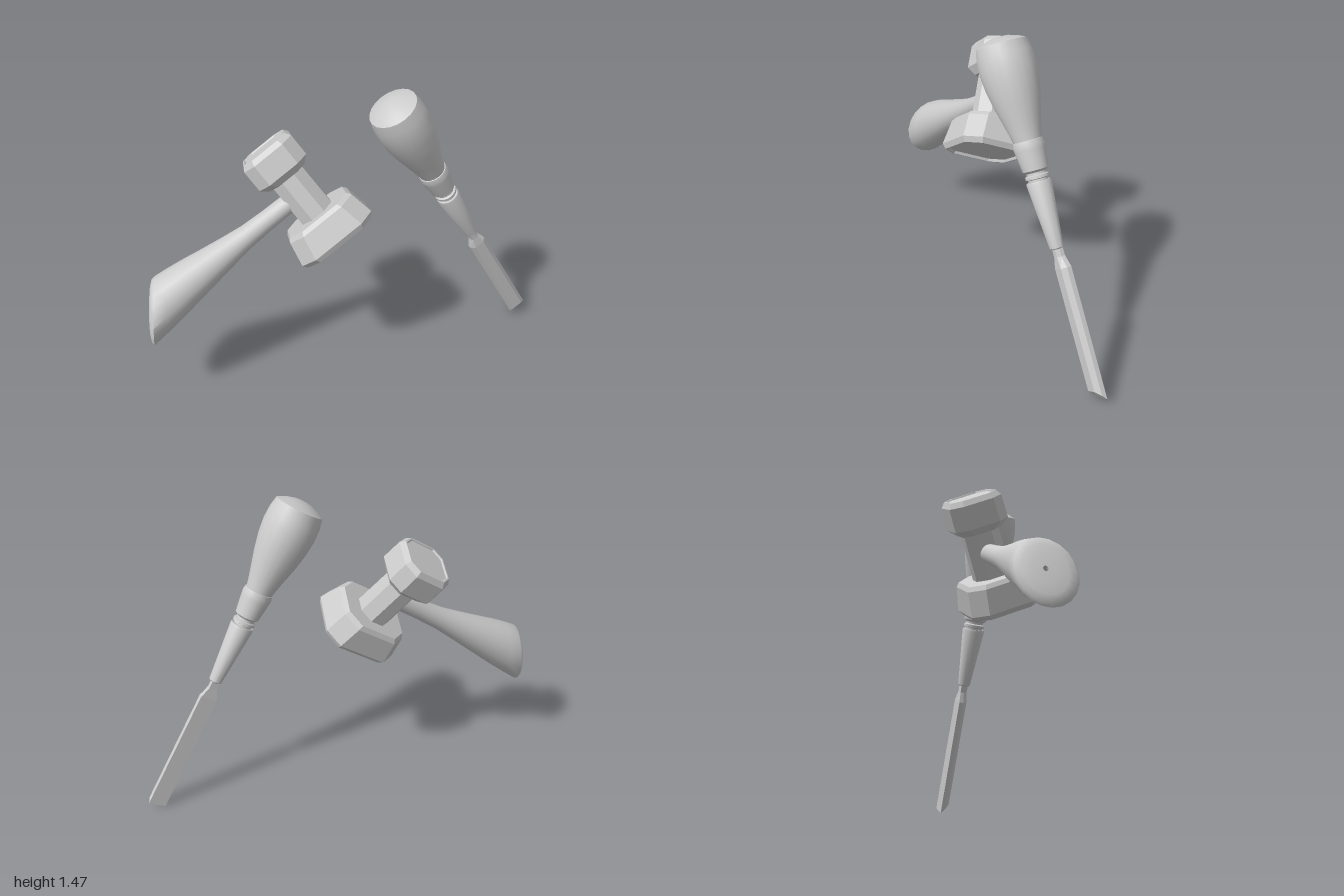
import * as THREE from 'three';
import { toCreasedNormals } from 'three/addons/utils/BufferGeometryUtils.js';

const V3 = (x, y, z) => new THREE.Vector3(x, y, z);

// Skin a list of rings (equal point counts, counter-clockwise about the travel axis), capped at both ends
function loft(rings) {
  const n = rings[0].length, pos = [], index = [];
  rings.forEach(r => r.forEach(p => pos.push(p.x, p.y, p.z)));
  for (let i = 0; i < rings.length - 1; i++) {
    for (let j = 0; j < n; j++) {
      const a = i * n + j, b = i * n + (j + 1) % n;
      index.push(a, b, b + n, a, b + n, a + n);
    }
  }
  [0, rings.length - 1].forEach(k => {
    const c = V3(0, 0, 0);
    rings[k].forEach(p => c.addScaledVector(p, 1 / n));
    const ci = pos.length / 3;
    pos.push(c.x, c.y, c.z);
    for (let j = 0; j < n; j++) {
      const a = k * n + j, b = k * n + (j + 1) % n;
      if (k === 0) index.push(ci, b, a); else index.push(ci, a, b);
    }
  });
  const g = new THREE.BufferGeometry();
  g.setAttribute('position', new THREE.Float32BufferAttribute(pos, 3));
  g.setIndex(index);
  return g;
}

function addMesh(parent, name, geometry, crease = 0) {
  const flat = crease === 0;
  if (!flat) {
    geometry.computeVertexNormals();
    geometry = toCreasedNormals(geometry, crease);
  } else {
    geometry = geometry.toNonIndexed();
    geometry.computeVertexNormals();
  }
  const mesh = new THREE.Mesh(geometry, new THREE.MeshStandardMaterial({ color: 0xcccccc, flatShading: flat }));
  mesh.name = name;
  parent.add(mesh);
  return mesh;
}

// Rectangle with cut corners, in the plane at height y
function cutRect(y, w, d, c) {
  const x = w / 2, z = d / 2;
  return [[z, -x + c], [z, x - c], [z - c, x], [-z + c, x], [-z, x - c], [-z, -x + c], [-z + c, -x], [z - c, -x]]
    .map(([pz, px]) => V3(px, y, pz));
}
const block = rows => loft(rows.map(r => cutRect(...r)));

function createMallet() {
  const mallet = new THREE.Group();
  mallet.name = 'mallet';

  // Large flared striking head with a recessed face
  addMesh(mallet, 'largeHead', block([
    [-0.262, 0.35, 0.30, 0.06], [-0.275, 0.36, 0.31, 0.06], [-0.275, 0.375, 0.325, 0.065],
    [-0.25, 0.405, 0.355, 0.07], [-0.135, 0.36, 0.315, 0.07], [-0.115, 0.33, 0.285, 0.065],
  ]));

  // Neck joining the two heads
  addMesh(mallet, 'neck', block([[-0.15, 0.17, 0.175, 0.05], [0.15, 0.165, 0.17, 0.05]]));

  // Small head with a recessed face
  addMesh(mallet, 'smallHead', block([
    [0.105, 0.2, 0.19, 0.045], [0.14, 0.27, 0.26, 0.055], [0.25, 0.27, 0.255, 0.055],
    [0.275, 0.235, 0.22, 0.045], [0.275, 0.222, 0.207, 0.042], [0.268, 0.215, 0.2, 0.042],
  ]));

  // Flared handle running along -x, its end cut obliquely
  const end = 0.875, sides = 20, tilt = V3(-0.77, 0.635, 0).normalize();
  const ring = (t, r, bulge = 0) => Array.from({ length: sides }, (_, j) => {
    const a = j / sides * Math.PI * 2;
    const w = V3(0, Math.sin(a) * r, Math.cos(a) * r);
    const lean = (t / end) * w.dot(tilt) / -tilt.x;
    return V3(-t + lean, w.y, w.z).addScaledVector(tilt, bulge);
  });
  const rings = [[0.03, 0.045], [0.2, 0.048], [0.33, 0.055], [0.45, 0.071], [0.58, 0.09], [0.7, 0.108],
    [0.8, 0.12], [end, 0.127], [end, 0.118, 0.012], [end, 0.09, 0.02], [end, 0.05, 0.024],
    [end, 0.01, 0.025], [end, 0.01, -0.03]].map(r => ring(...r));
  addMesh(mallet, 'malletHandle', loft(rings), 1.0);

  // Local axes: -x along the handle, +y from large head to small head
  const x = V3(0.845, 0.536, 0.03).normalize();
  const y = V3(-0.467, 0.758, -0.455);
  y.addScaledVector(x, -y.dot(x)).normalize();
  const z = V3(0, 0, 0).crossVectors(x, y);
  mallet.quaternion.setFromRotationMatrix(new THREE.Matrix4().makeBasis(x, y, z));
  mallet.position.set(-0.2175, 0.97, -0.035);
  return mallet;
}

function createChisel() {
  const chisel = new THREE.Group();
  chisel.name = 'chisel';
  // Profiles are [distance down from the butt, radius]
  const lathe = profile => new THREE.LatheGeometry(
    profile.map(([s, r]) => new THREE.Vector2(r, -s)).reverse(), 20);

  // Bulbous grip with a domed butt
  addMesh(chisel, 'grip', lathe([[-0.034, 0], [-0.03, 0.04], [-0.018, 0.08], [0, 0.116], [0.05, 0.126],
    [0.11, 0.129], [0.18, 0.122], [0.26, 0.106], [0.34, 0.085], [0.4, 0.07], [0.45, 0.06]]), 0.5);

  // Ferrule and grooved collar
  addMesh(chisel, 'ferrule', lathe([[0.425, 0.055], [0.43, 0.068], [0.45, 0.072], [0.47, 0.07],
    [0.56, 0.058], [0.57, 0.045], [0.58, 0.045], [0.585, 0.054], [0.597, 0.054], [0.6, 0.044], [0.62, 0.044]]), 0.5);

  // Tapered socket
  addMesh(chisel, 'socket', lathe([[0.61, 0], [0.61, 0.054], [0.62, 0.057], [0.91, 0.031], [0.915, 0.026], [0.915, 0]]), 0.5);

  // Blade: flat back, bevelled sides, bevelled cutting edge
  const section = (s, w, t, frontLift = 0) => [[1, -0.58], [1, 0.58], [0, 1], [-1, 1], [-1, -1], [0, -1]]
    .map(([z, x]) => V3(x * w, -s + (z + 1) / 2 * frontLift, z * t));
  addMesh(chisel, 'blade', loft([
    section(1.6, 0.045, 0.021, 0.045), section(1.0, 0.043, 0.022),
    section(0.95, 0.021, 0.018), section(0.9, 0.021, 0.018),
  ]));

  chisel.rotation.z = Math.PI / 6;
  chisel.position.set(0.155, 1.416, 0.147);
  return chisel;
}

export function createModel() {
  const model = new THREE.Group();
  model.name = 'malletAndChisel';
  model.add(createMallet(), createChisel());
  return model;
}
